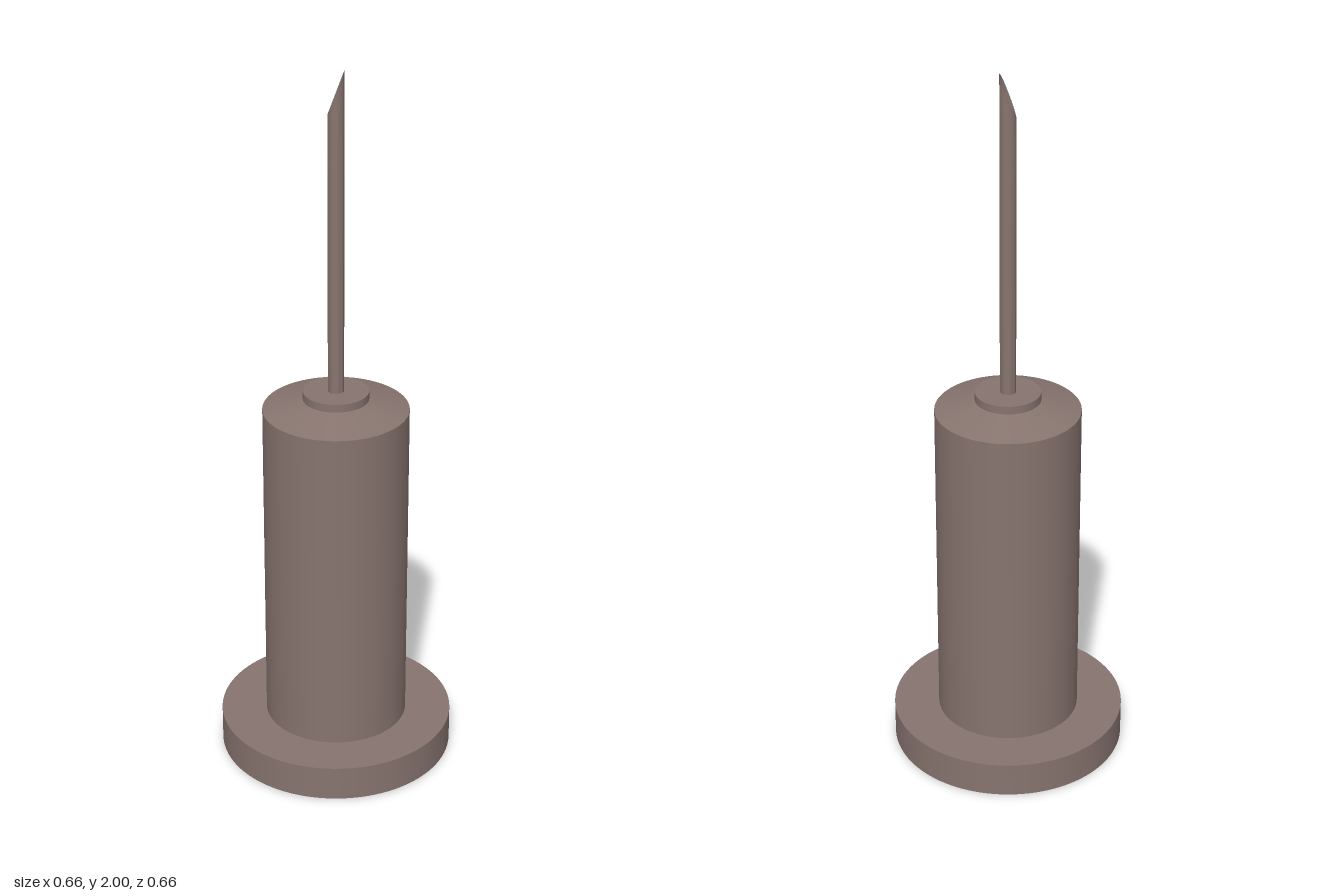
import * as THREE from 'three';
import { toCreasedNormals } from 'three/addons/utils/BufferGeometryUtils.js';

const OUTER = 0.022, BORE = 0.019, TIP_LOW = 1.88, TIP_HIGH = 2;

// Revolve a closed profile (up the outside, down the inside), keeping edges sharp
function revolve(points, segments, shape) {
  const profile = points.map(([r, y]) => new THREE.Vector2(r, y));
  profile.push(profile[0].clone());
  const geometry = new THREE.LatheGeometry(profile, segments);
  if (shape) shape(geometry.attributes.position);
  return toCreasedNormals(geometry, 0.6);
}

export function createModel() {
  const group = new THREE.Group();
  const material = new THREE.MeshStandardMaterial({ color: 0x87746f });
  material.name = 'warm grey';

  const add = (name, geometry) => {
    const mesh = new THREE.Mesh(geometry, material);
    mesh.name = name;
    group.add(mesh);
  };

  // Hub: flange, barrel, sloped shoulder and collar, with a tapered socket inside
  add('hub', revolve([
    [0.175, 0], [0.328, 0], [0.328, 0.1], [0.2, 0.1],
    [0.2, 1.05], [0.09, 1.08], [0.09, 1.103], [BORE, 1.103],
    [BORE, 1.0], [0.155, 1.0],
  ], 96));

  // Hollow needle, its top cut on a slant that rises towards +x
  add('needle', revolve([
    [BORE, 1.02], [OUTER, 1.02], [OUTER, TIP_HIGH], [BORE, TIP_HIGH],
  ], 48, (position) => {
    for (let i = 0; i < position.count; i++) {
      if (position.getY(i) < TIP_LOW) continue;
      const t = (position.getX(i) / OUTER + 1) / 2;
      position.setY(i, THREE.MathUtils.lerp(TIP_LOW, TIP_HIGH, t));
    }
  }));

  return group;
}
